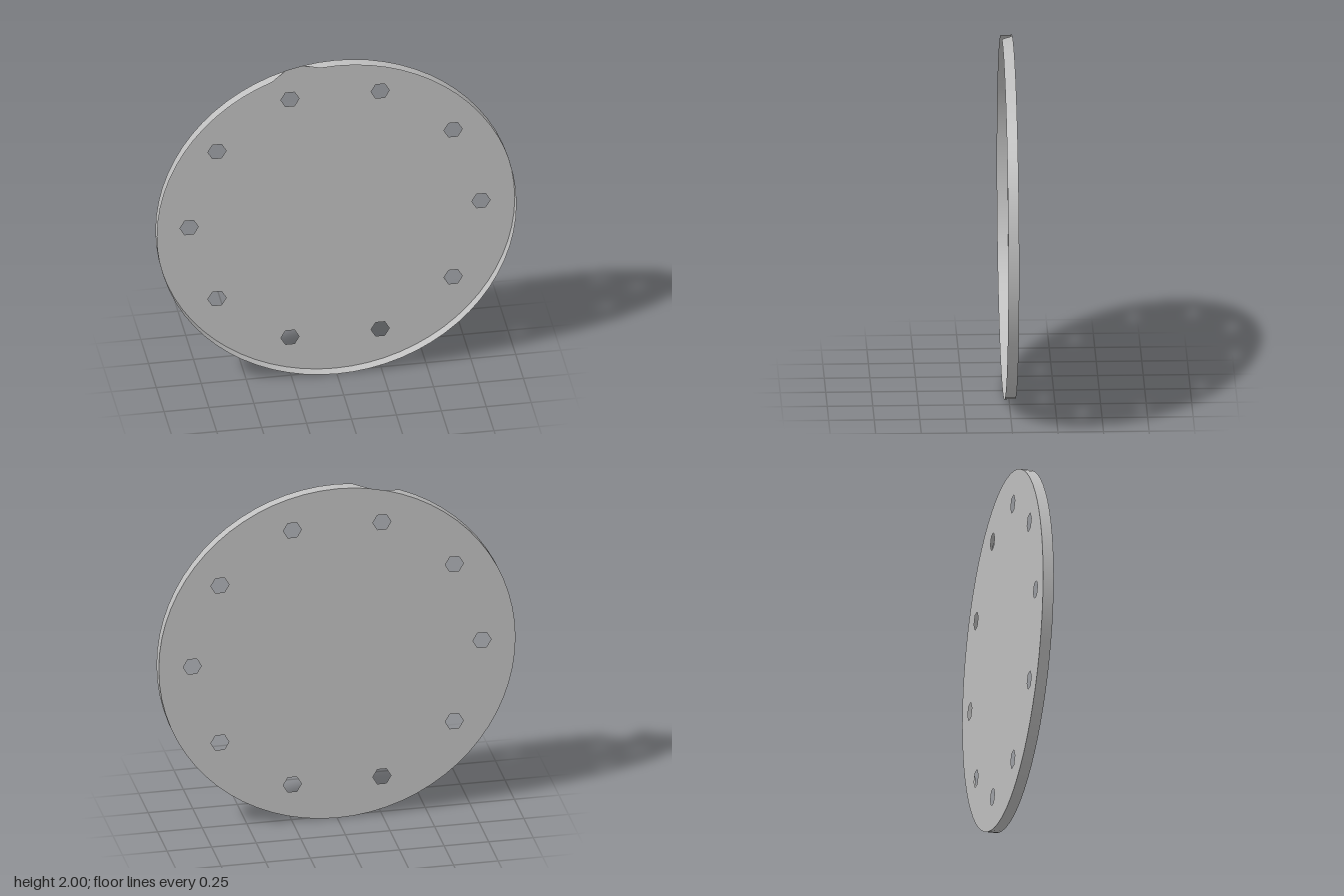
import * as THREE from 'three';

const SEGMENTS = 68;
const HALF_DEPTH = 0.03;
const HOLES = 10;

// Point on a regular polygon, counted anticlockwise from a start angle
function polygon(cx, cy, radius, sides, start) {
  return Array.from({ length: sides }, (_, i) => {
    const a = start + (i / sides) * Math.PI * 2;
    return new THREE.Vector2(cx + radius * Math.cos(a), cy + radius * Math.sin(a));
  });
}

// Round back plate with a ring of hexagonal bolt holes
function plateGeometry(outline) {
  const shape = new THREE.Shape(outline);
  for (let i = 0; i < HOLES; i++) {
    const a = (i / HOLES) * Math.PI * 2;
    const hex = polygon(0.812 * Math.cos(a), 1 + 0.812 * Math.sin(a), 0.051, 6, 0);
    shape.holes.push(new THREE.Path(hex.reverse()));
  }
  const geometry = new THREE.ShapeGeometry(shape);
  geometry.translate(0, 0, -HALF_DEPTH);
  return geometry;
}

// Shallow rim, open at the front, with a notch cut down to the plate near the top
function rimGeometry(outline) {
  const positions = [], normals = [], index = [];
  for (let k = 0; k <= SEGMENTS; k++) {
    const p = outline[k % SEGMENTS];
    const notched = k === 2 || k === 3;
    positions.push(p.x, p.y, -HALF_DEPTH, p.x, p.y, notched ? -HALF_DEPTH : HALF_DEPTH);
    normals.push(p.x, p.y - 1, 0, p.x, p.y - 1, 0);
    if (k === SEGMENTS || k === 2) continue;
    const b = k * 2;
    index.push(b, b + 3, b + 1, b, b + 2, b + 3);
  }
  const geometry = new THREE.BufferGeometry();
  geometry.setAttribute('position', new THREE.Float32BufferAttribute(positions, 3));
  geometry.setAttribute('normal', new THREE.Float32BufferAttribute(normals, 3));
  geometry.setIndex(index);
  return geometry;
}

export function createModel() {
  const grey = new THREE.MeshStandardMaterial({ color: 0xc0c0c0, side: THREE.DoubleSide });
  grey.name = 'light grey';

  const outline = polygon(0, 1, 1, SEGMENTS, Math.PI / 2);

  const plate = new THREE.Mesh(plateGeometry(outline), grey);
  plate.name = 'backPlate';
  const rim = new THREE.Mesh(rimGeometry(outline), grey);
  rim.name = 'notchedRim';

  const model = new THREE.Group();
  model.name = 'flangeCover';
  model.add(plate, rim);
  return model;
}
